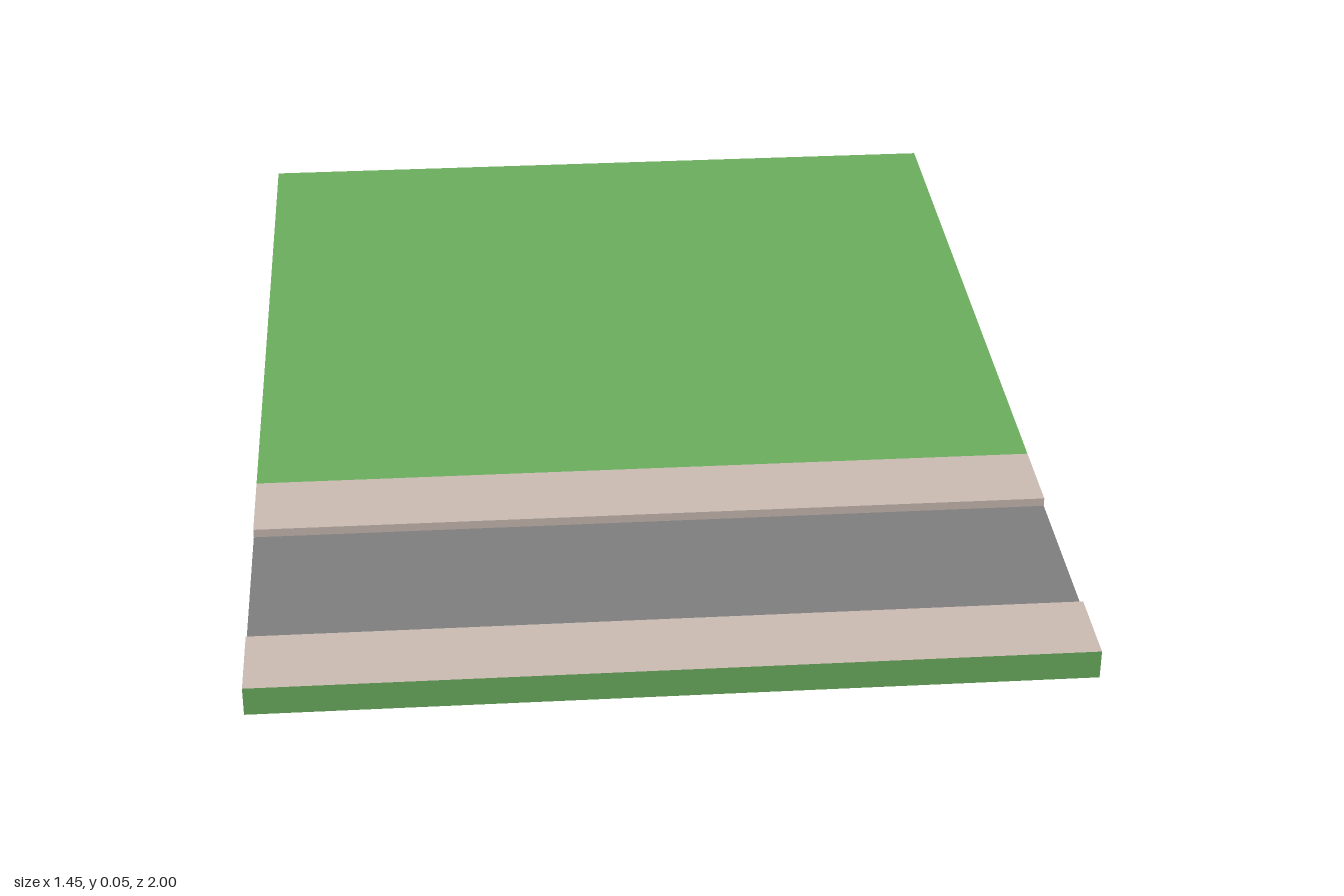
import * as THREE from 'three';

const W = 0.723;            // half width
const H = 0.053;            // ground height
const R = 0.037;            // road surface height

// Strip of flat faces spanning the full width along [z, y] points
function ribbon(points, material, name) {
  const pos = [];
  for (let i = 0; i < points.length - 1; i++) {
    const [az, ay] = points[i], [bz, by] = points[i + 1];
    pos.push(-W, ay, az, W, ay, az, W, by, bz, -W, ay, az, W, by, bz, -W, by, bz);
  }
  const g = new THREE.BufferGeometry();
  g.setAttribute('position', new THREE.Float32BufferAttribute(pos, 3));
  g.computeVertexNormals();
  const mesh = new THREE.Mesh(g, material);
  mesh.name = name;
  return mesh;
}

// Flat end face from [z, y] points, on side s (+1 left, -1 right)
function endFace(points, s, material, name) {
  const shape = new THREE.Shape(points.map(([z, y]) => new THREE.Vector2(-s * z, y)));
  const g = new THREE.ShapeGeometry(shape);
  g.rotateY(s * Math.PI / 2);
  g.translate(s * W, 0, 0);
  const mesh = new THREE.Mesh(g, material);
  mesh.name = name;
  return mesh;
}

export function createModel() {
  const mat = (name, color) => new THREE.MeshStandardMaterial({ name, color });
  const grass = mat('grass green', 0x6aac5d);
  const paving = mat('paving beige', 0xc8b8b0);
  const asphalt = mat('asphalt grey', 0x7d7d7d);

  const model = new THREE.Group();
  model.name = 'roadTile';

  // Lawn top, outer walls and underside
  model.add(ribbon([[0.345, H], [-1, H], [-1, 0], [1, 0], [1, H]], grass, 'ground'));
  // Pavements with their kerb faces, and the sunken road between
  model.add(ribbon([[1, H], [0.847, H], [0.847, R]], paving, 'frontPavement'));
  model.add(ribbon([[0.847, R], [0.506, R]], asphalt, 'road'));
  model.add(ribbon([[0.506, R], [0.506, H], [0.345, H]], paving, 'backPavement'));

  // End walls, with kerb stones showing at the road edges
  for (const s of [1, -1]) {
    const side = s > 0 ? 'left' : 'right';
    model.add(endFace([[1, 0], [1, H], [0.873, H], [0.847, R + 0.004], [0.847, R],
      [0.506, R], [0.49, R], [0.473, H], [-1, H], [-1, 0]], s, grass, side + 'Wall'));
    model.add(endFace([[0.873, H], [0.847, H], [0.847, R + 0.004]], s, paving, side + 'FrontKerbEnd'));
    model.add(endFace([[0.506, R], [0.506, H], [0.473, H], [0.49, R]], s, paving, side + 'BackKerbEnd'));
  }
  return model;
}
